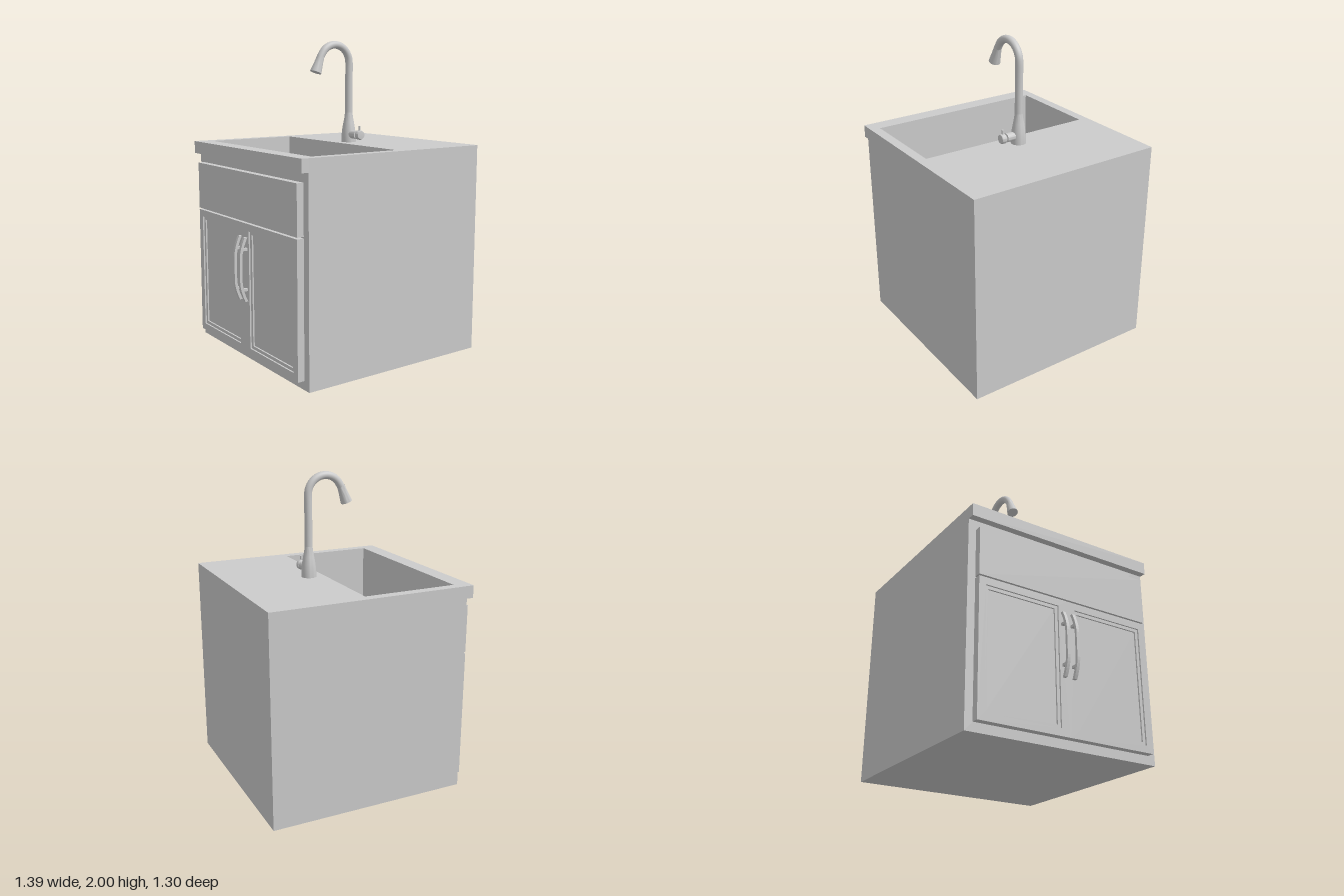
import * as THREE from 'three';
import { toCreasedNormals } from 'three/addons/utils/BufferGeometryUtils.js';

const mat = new THREE.MeshStandardMaterial({ color: 0xcccccc, side: THREE.DoubleSide });
const TOP = 1.345, BACK = 0.695, FACE = -0.6, FRONT = -0.645, HALF = 0.65;
const FX = 0.17, FZ = -0.015; // faucet axis

export function createModel() {
  const root = new THREE.Group();

  const add = (name, geometry, parent = root) => {
    const mesh = new THREE.Mesh(geometry, mat);
    mesh.name = name;
    parent.add(mesh);
    return mesh;
  };

  // Box given by its limits, optionally without its top face
  const box = (x0, x1, y0, y1, z0, z1, openTop = false) => {
    const g = new THREE.BoxGeometry(x1 - x0, y1 - y0, z1 - z0);
    if (openTop) {
      const index = Array.from(g.index.array);
      index.splice(12, 6);
      g.setIndex(index);
      g.clearGroups();
    }
    return g.translate((x0 + x1) / 2, (y0 + y1) / 2, (z0 + z1) / 2);
  };

  // Closed rectangular outline
  const rect = (a0, a1, b0, b1, Type = THREE.Path) => new Type()
    .moveTo(a0, b0).lineTo(a1, b0).lineTo(a1, b1).lineTo(a0, b1).closePath();
  const rectWithHoles = (outer, holes) => {
    const s = rect(...outer, THREE.Shape);
    s.holes = holes.map((h) => rect(...h));
    return s;
  };

  // Shape drawn in (z, y), raised from the cabinet face toward -x
  const facing = (shape, depth) =>
    new THREE.ExtrudeGeometry(shape, { depth, bevelEnabled: false })
      .rotateY(-Math.PI / 2).translate(FACE, 0, 0);

  const lathe = (pts, segments = 32) => toCreasedNormals(
    new THREE.LatheGeometry(pts.map((p) => new THREE.Vector2(...p)), segments), 0.7);

  // Cabinet body, worktop with its overhanging lip
  add('cabinetBody', box(FACE, BACK, 0, TOP, -HALF, HALF, true));
  add('worktopLip', box(FRONT, FACE, 1.265, TOP, -HALF, HALF, true));
  const sink = { x0: -0.54, x1: 0.07, z0: -0.588, z1: 0.588, floor: 0.935 };
  // Drawn in (x, -z) so that the flat shape faces up
  const worktop = rectWithHoles([FRONT, BACK, -HALF, HALF], [[sink.x0, sink.x1, -sink.z1, -sink.z0]]);
  add('worktop', new THREE.ShapeGeometry(worktop).rotateX(-Math.PI / 2).translate(0, TOP, 0));

  // Sink basin, seen from inside, and drain
  const basin = add('sinkBasin', box(sink.x0, sink.x1, sink.floor, TOP, sink.z0, sink.z1, true));
  basin.material = new THREE.MeshStandardMaterial({ color: 0xcccccc, side: THREE.BackSide });
  add('drain', new THREE.CylinderGeometry(0.06, 0.06, 0.008, 32)
    .translate(-0.235, sink.floor + 0.004, 0));

  // False drawer front
  add('drawerFront', box(FRONT, FACE, 0.9, 1.205, -0.6, 0.6));

  // Pair of doors with a stepped moulding around a recessed panel, and bow handles
  for (const side of [-1, 1]) {
    const door = new THREE.Group();
    door.name = side < 0 ? 'rightDoor' : 'leftDoor';
    root.add(door);
    const span = (a, b) => (side > 0 ? [a, b] : [-b, -a]);
    const opening = [...span(0.06, 0.555), 0.1, 0.845];
    const inner = [...span(0.08, 0.535), 0.12, 0.825];
    add('doorFrame', facing(rectWithHoles([...span(0, 0.6), 0.055, 0.89], [opening]), 0.045), door);
    add('doorMoulding', facing(rectWithHoles(opening, [inner]), 0.035), door);
    add('doorPanel', facing(rectWithHoles(inner, []), 0.025), door);

    const handle = new THREE.Group();
    handle.name = 'doorHandle';
    door.add(handle);
    const bow = new THREE.Shape()
      .moveTo(FRONT, 0.805).lineTo(-0.665, 0.805)
      .quadraticCurveTo(-0.698, 0.735, -0.70, 0.68)
      .lineTo(-0.70, 0.525)
      .quadraticCurveTo(-0.698, 0.47, -0.665, 0.4)
      .lineTo(FRONT, 0.4)
      .quadraticCurveTo(-0.68, 0.47, -0.683, 0.53)
      .lineTo(-0.683, 0.675)
      .quadraticCurveTo(-0.68, 0.735, FRONT, 0.805);
    const z = side * 0.034;
    const bar = new THREE.ExtrudeGeometry(bow, { depth: 0.02, bevelEnabled: false, curveSegments: 6 });
    add('handleBar', bar.translate(0, 0, z - 0.01), handle);
    for (const y of [0.475, 0.73]) {
      add('handlePost', box(-0.682, FRONT, y - 0.008, y + 0.008, z - 0.01, z + 0.01), handle);
    }
  }

  // Faucet: flared base, swan neck and widening spout
  const faucet = new THREE.Group();
  faucet.name = 'faucet';
  faucet.position.set(FX, 0, FZ);
  root.add(faucet);
  add('faucetBase', lathe([
    [0.048, TOP], [0.047, 1.39], [0.043, 1.43], [0.035, 1.475], [0.028, 1.51], [0.025, 1.54],
  ]), faucet);

  const neck = [[0, 1.53], [0, 1.6], [0, 1.7], [0.001, 1.79]];
  for (let i = 0; i <= 10; i++) {
    const a = (i / 10) * Math.PI * 0.84;
    neck.push([-0.114 + 0.115 * Math.cos(a), 1.862 + 0.115 * Math.sin(a)]);
  }
  neck.push([-0.23, 1.892]);
  const curve = new THREE.CatmullRomCurve3(neck.map(([x, y]) => new THREE.Vector3(x, y, 0)));
  add('faucetNeck', new THREE.TubeGeometry(curve, 64, 0.0245, 20), faucet);

  const spout = add('faucetSpout', lathe([
    [0, 0], [0.037, 0], [0.034, 0.025], [0.029, 0.06], [0.0255, 0.095], [0.0245, 0.11],
  ]), faucet);
  spout.position.set(-0.264, 1.802, 0);
  spout.quaternion.setFromUnitVectors(
    new THREE.Vector3(0, 1, 0), new THREE.Vector3(0.36, 0.93, 0).normalize());

  // Side valve: stem, thin collar, rounded knob and a small pin lever
  const valve = lathe([
    [0.028, 0.02], [0.028, 0.094], [0.015, 0.094], [0.015, 0.102], [0.026, 0.102],
    [0.031, 0.108], [0.031, 0.128], [0.027, 0.136], [0, 0.139],
  ]).rotateX(Math.PI / 2).translate(0, 1.397, 0);
  add('valveKnob', valve, faucet);
  add('valvePin', new THREE.CylinderGeometry(0.006, 0.006, 0.05, 12).translate(0, 1.43, 0.119), faucet);

  return root;
}
